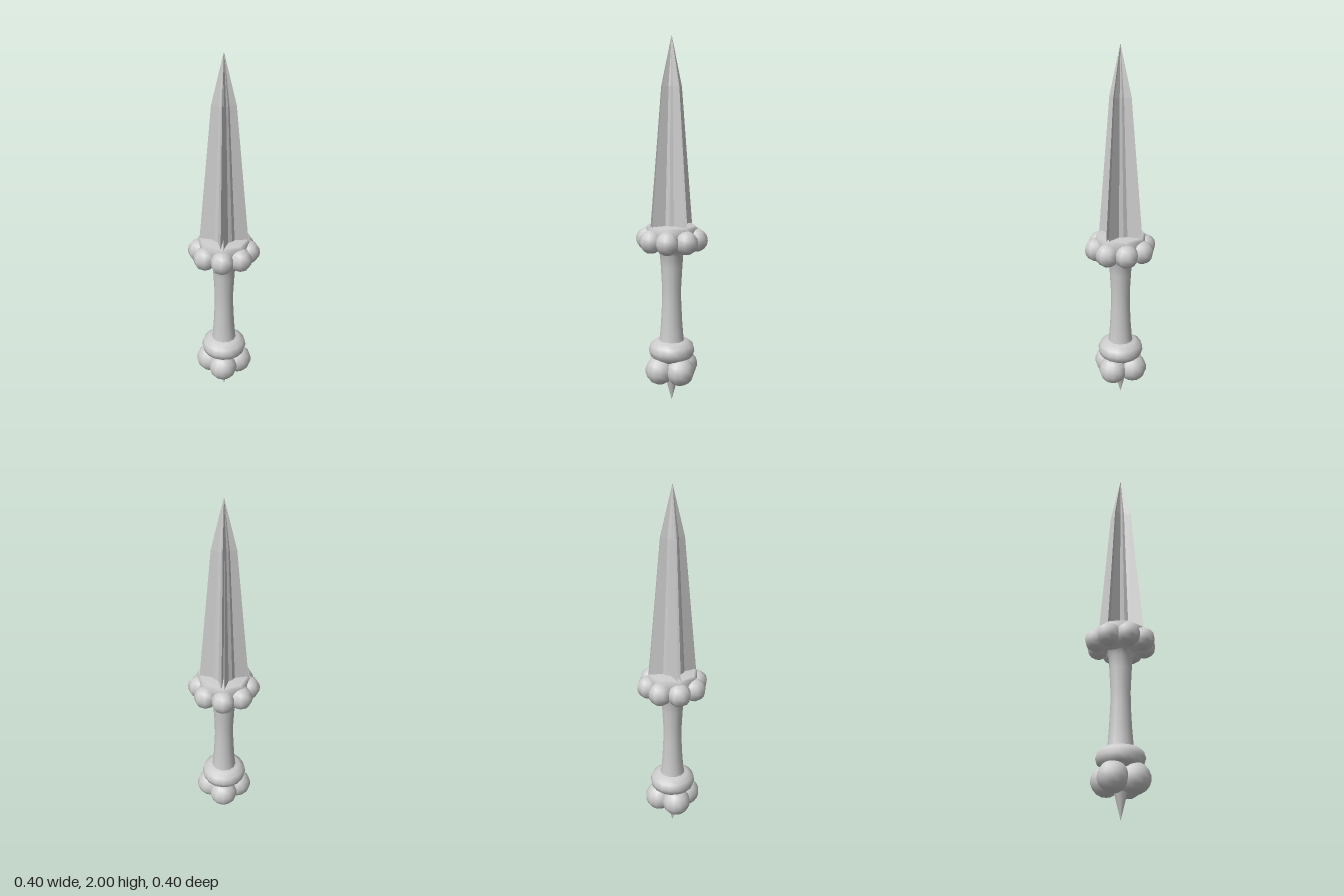
import * as THREE from 'three';

const smooth = new THREE.MeshStandardMaterial({ color: 0xcccccc, side: THREE.DoubleSide });
const faceted = new THREE.MeshStandardMaterial({ color: 0xcccccc, flatShading: true, side: THREE.DoubleSide });

function add(parent, name, geometry, material = smooth) {
  const mesh = new THREE.Mesh(geometry, material);
  mesh.name = name;
  parent.add(mesh);
  return mesh;
}

function lathe(points, sides) {
  return new THREE.LatheGeometry(points.map(([r, y]) => new THREE.Vector2(r, y)), sides);
}

// ring of identical beads around the axis
function beadRing(name, count, ringRadius, y, geometry) {
  const ring = new THREE.Group();
  ring.name = name;
  for (let i = 0; i < count; i++) {
    const a = (i / count) * Math.PI * 2;
    add(ring, 'bead', geometry).position.set(Math.cos(a) * ringRadius, y, Math.sin(a) * ringRadius);
  }
  return ring;
}

// four-finned star section, tapered through levels of [y, scale] to a point
function bladeGeometry() {
  const quarter = [
    [0.03, 0], [0.132, 0.008], [0.06, 0.027], [0.047, 0.047], [0.027, 0.06], [0.008, 0.132],
  ];
  const section = [];
  for (let q = 0; q < 4; q++) {
    const c = Math.round(Math.cos(q * Math.PI / 2)), s = Math.round(Math.sin(q * Math.PI / 2));
    quarter.forEach(([x, z]) => section.push([x * c - z * s, x * s + z * c]));
  }
  const levels = [[1.0, 1], [1.74, 0.48], [2.0, 0.001]];
  const n = section.length, positions = [], index = [];
  for (const [y, k] of levels) section.forEach(([x, z]) => positions.push(x * k, y, z * k));
  for (let l = 0; l < levels.length - 1; l++) {
    for (let i = 0; i < n; i++) {
      const a = l * n + i, b = l * n + (i + 1) % n;
      index.push(a, a + n, b, b, a + n, b + n);
    }
  }
  const geometry = new THREE.BufferGeometry();
  geometry.setAttribute('position', new THREE.Float32BufferAttribute(positions, 3));
  geometry.setIndex(index);
  geometry.computeVertexNormals();
  return geometry;
}

export function createModel() {
  const dagger = new THREE.Group();
  dagger.name = 'dagger';

  add(dagger, 'blade', bladeGeometry(), faceted);

  // guard: octagonal cap with eight beads
  add(dagger, 'guardCap', lathe([
    [0.05, 0.83], [0.075, 0.86], [0.12, 0.89], [0.145, 0.94], [0.143, 0.985], [0.13, 1.005], [0, 1.01],
  ], 8));
  dagger.add(beadRing('guardBeads', 8, 0.134, 0.925, new THREE.SphereGeometry(0.064, 8, 8)));

  // waisted grip
  add(dagger, 'grip', lathe([
    [0.075, 0.33], [0.066, 0.37], [0.059, 0.46], [0.053, 0.58], [0.053, 0.66], [0.059, 0.77], [0.064, 0.84], [0.085, 0.875],
  ], 12));

  // rounded collar above the pommel
  add(dagger, 'collar', lathe([
    [0, 0.23], [0.09, 0.245], [0.118, 0.268], [0.128, 0.3], [0.118, 0.332], [0.09, 0.352], [0.05, 0.36],
  ], 16));

  // pommel: four large beads around a core, ending in a spike
  add(dagger, 'pommelCore', new THREE.CylinderGeometry(0.07, 0.05, 0.13, 12)).position.y = 0.2;
  dagger.add(beadRing('pommelBeads', 4, 0.08, 0.195, new THREE.SphereGeometry(0.08, 12, 9)));
  add(dagger, 'spike', new THREE.ConeGeometry(0.04, 0.15, 8).rotateX(Math.PI).translate(0, 0.075, 0));

  return dagger;
}
